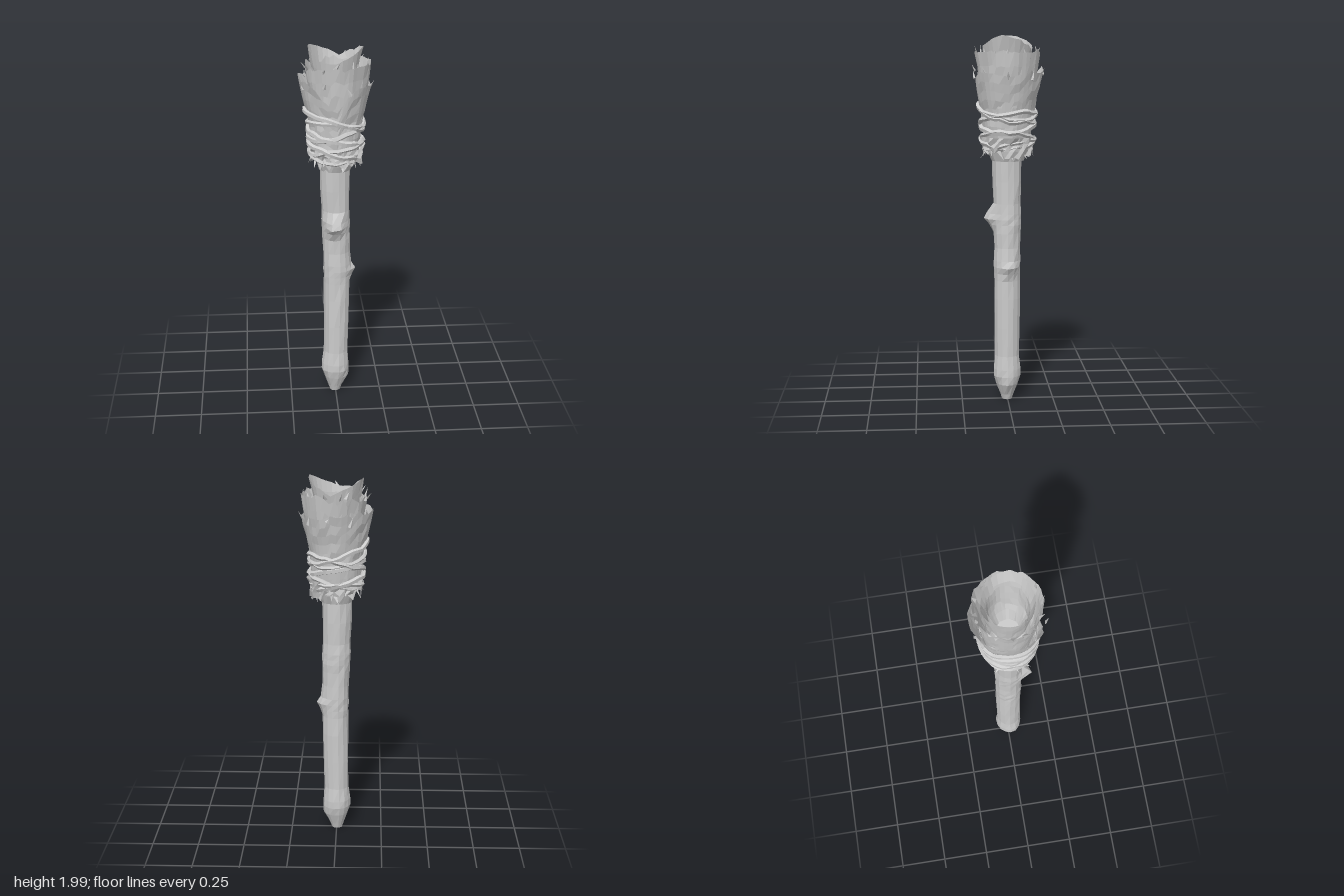
import * as THREE from 'three';

const grey = new THREE.MeshStandardMaterial({ color: 0xcccccc, flatShading: true, side: THREE.DoubleSide });
grey.name = 'plain grey';

// Repeatable noise in the range -1..1
function noise(a, b = 0, c = 0) {
  const s = Math.sin(a * 12.9898 + b * 78.233 + c * 37.719) * 43758.5453;
  return (s - Math.floor(s)) * 2 - 1;
}

// Piecewise linear lookup in [[y, r], ...]
function profileAt(profile, y) {
  if (y <= profile[0][0]) return profile[0][1];
  for (let i = 1; i < profile.length; i++) {
    const [y0, r0] = profile[i - 1], [y1, r1] = profile[i];
    if (y <= y1) return r0 + (r1 - r0) * (y - y0) / (y1 - y0);
  }
  return profile[profile.length - 1][1];
}

// Closed-around surface; point(row, angle, column) returns [x, y, z]
function loft(name, rows, cols, point) {
  const pos = [], idx = [];
  for (let i = 0; i < rows; i++) {
    for (let j = 0; j < cols; j++) pos.push(...point(i, j / cols * Math.PI * 2, j));
  }
  for (let i = 0; i < rows - 1; i++) {
    for (let j = 0; j < cols; j++) {
      const a = i * cols + j, b = i * cols + (j + 1) % cols, c = a + cols, d = b + cols;
      idx.push(a, c, b, b, c, d);
    }
  }
  const g = new THREE.BufferGeometry();
  g.setAttribute('position', new THREE.Float32BufferAttribute(pos, 3));
  g.setIndex(idx);
  g.computeVertexNormals();
  const mesh = new THREE.Mesh(g, grey);
  mesh.name = name;
  return mesh;
}

const angleDiff = (a, b) => Math.atan2(Math.sin(a - b), Math.cos(a - b));

// Wooden handle: whittled tip, worn sides and two broken-branch knots
function makeHandle() {
  const rows = [[0.01, 0], [0.01, 0.028], [0.04, 0.038], [0.1, 0.06], [0.145, 0.073], [0.185, 0.073],
    [0.26, 0.066], [0.42, 0.069], [0.58, 0.07], [0.68, 0.07], [0.72, 0.071], [0.755, 0.072], [0.79, 0.072],
    [0.86, 0.071], [0.94, 0.073], [0.985, 0.075], [1.015, 0.076], [1.045, 0.076], [1.1, 0.073],
    [1.22, 0.077], [1.34, 0.08], [1.5, 0.07], [1.5, 0]];
  const knots = [
    { y: 1.02, angle: Math.PI / 2 + 0.12, out: 0.056, w: 0.45, h: 0.04 },
    { y: 0.755, angle: -0.1, out: 0.03, w: 0.5, h: 0.035 },
    { y: 0.1, angle: 0, out: 0.014, w: 0.6, h: 0.04 },
    { y: 0.18, angle: Math.PI * 0.9, out: 0.006, w: 0.5, h: 0.04 },
  ];
  return loft('handle', rows.length, 14, (i, a, j) => {
    const [y, base] = rows[i];
    let r = base * (1 + 0.035 * noise(i, j));
    if (base > 0) {
      for (const k of knots) {
        r += k.out * Math.exp(-((angleDiff(a, k.angle) / k.w) ** 2) - ((y - k.y) / k.h) ** 2);
      }
    }
    const cx = 0.005 * Math.sin(y * 4.2 - 1.2) + 0.002;
    return [cx + r * Math.cos(a), y, 0.003 + r * Math.sin(a)];
  });
}

// Cloth cup with a ragged rim
function makeCup({ name, profile, top, ragged, seed, cx = 0, cz = 0, cols = 36, rows = 8, rough = 0.004 }) {
  const y0 = profile[0][0];
  return loft(name, rows, cols, (i, a, j) => {
    const t = i / (rows - 1);
    const end = top(a) + ragged * noise(j, seed) * (noise(j, seed + 3) > 0.1 ? 1 : 0.3);
    const y = y0 + (end - y0) * t;
    const r = profileAt(profile, y) + rough * noise(i, Math.floor(j / 2), seed);
    return [cx + r * Math.cos(a), y, cz + r * Math.sin(a)];
  });
}

const wrapProfile = [[1.33, 0.085], [1.38, 0.105], [1.44, 0.125], [1.52, 0.134], [1.6, 0.142],
  [1.7, 0.165], [1.78, 0.185], [1.85, 0.203]];

// Cord looped around the wrap on a slant
function makeCord(index, { y, tilt, dir, r = 0.013, gap = 0.008 }) {
  const pts = [];
  for (let k = 0; k < 20; k++) {
    const a = k / 20 * Math.PI * 2;
    const py = y + tilt * Math.cos(a - dir) + 0.007 * noise(k, index);
    const rad = profileAt(wrapProfile, py) + gap + 0.004 * noise(k, index, 5);
    pts.push(new THREE.Vector3(rad * Math.cos(a), py, rad * Math.sin(a)));
  }
  const curve = new THREE.CatmullRomCurve3(pts, true);
  const mesh = new THREE.Mesh(new THREE.TubeGeometry(curve, 36, r, 5, true), grey);
  mesh.name = 'cord' + (index + 1);
  return mesh;
}

// Small torn scraps standing out around a ring
function makeScraps(name, count, radius, y, length, seed, downward) {
  const group = new THREE.Group();
  group.name = name;
  for (let k = 0; k < count; k++) {
    const a = (k + 0.4 * noise(k, seed)) / count * Math.PI * 2;
    const len = length * (1 + 0.4 * noise(k, seed, 2));
    const scrap = new THREE.Mesh(new THREE.ConeGeometry(0.014, len, 3), grey);
    scrap.scale.z = 0.4;
    scrap.position.set(radius * Math.cos(a), y + 0.02 * noise(k, seed, 4), radius * Math.sin(a));
    scrap.rotation.set((downward ? Math.PI - 0.4 : 0.3) + 0.4 * noise(k, seed, 6), Math.PI / 2 - a, 0.6 * noise(k, seed, 8), 'YXZ');
    scrap.name = 'scrap';
    group.add(scrap);
  }
  return group;
}

export function createModel() {
  const torch = new THREE.Group();
  torch.name = 'torch';
  torch.add(makeHandle());

  // Inner bowl and its floor
  torch.add(makeCup({ name: 'innerBowl', profile: [[1.6, 0.06], [1.75, 0.1], [1.9, 0.125], [2, 0.145]],
    top: a => 1.955 + 0.035 * Math.cos(2 * a - 0.4), ragged: 0.012, seed: 1, cols: 28, rows: 6 }));
  const floor = new THREE.Mesh(new THREE.CylinderGeometry(0.062, 0.062, 0.01, 9), grey);
  floor.position.y = 1.6;
  floor.name = 'bowlFloor';
  torch.add(floor);
  torch.add(makeCup({ name: 'innerLining', profile: [[1.72, 0.094], [1.93, 0.108]],
    top: () => 1.9, ragged: 0.02, seed: 12, cols: 28, rows: 4, rough: 0.003 }));

  // Middle layer, shifted to the left side
  torch.add(makeCup({ name: 'middleWrap', profile: [[1.4, 0.1], [1.6, 0.13], [1.8, 0.157], [1.93, 0.177]],
    top: a => 1.895 + 0.015 * Math.cos(a), ragged: 0.03, seed: 2, cx: 0.012, cols: 44 }));

  // Outer layer with a deep notch at the front
  const notch = Math.PI / 2 + 0.1;
  torch.add(makeCup({ name: 'outerWrap', profile: wrapProfile,
    top: a => 1.81 - 0.02 * Math.cos(a) - 0.15 * Math.max(0, 1 - Math.abs(angleDiff(a, notch)) / 0.62),
    ragged: 0.022, seed: 3, cols: 40, rows: 11 }));

  // Ragged skirt below the cords
  torch.add(loft('lowerSkirt', 4, 32, (i, a, j) => {
    const hem = 1.375 + 0.03 * noise(j, 7);
    const y = hem + (1.46 - hem) * i / 3;
    const r = 0.13 + 0.012 * noise(i, j, 9) + 0.004 * i;
    return [0.008 + r * Math.cos(a), y, r * Math.sin(a)];
  }));

  // Slanted binding cords
  const cords = [
    { y: 1.6, tilt: 0.055, dir: Math.PI * 0.9 },
    { y: 1.575, tilt: 0.035, dir: Math.PI * 0.65, r: 0.011 },
    { y: 1.55, tilt: 0.045, dir: -0.4 },
    { y: 1.52, tilt: 0.035, dir: Math.PI * 1.1, r: 0.015 },
    { y: 1.455, tilt: 0.035, dir: 0.3, r: 0.012, gap: 0.014 },
    { y: 1.44, tilt: 0.035, dir: Math.PI, r: 0.014, gap: 0.014 },
    { y: 1.42, tilt: 0.025, dir: Math.PI * 1.5, r: 0.011, gap: 0.016 },
  ];
  cords.forEach((c, i) => torch.add(makeCord(i, c)));

  // Frayed threads
  torch.add(makeScraps('rimScraps', 16, 0.168, 1.9, 0.05, 21, false));
  torch.add(makeScraps('outerScraps', 9, 0.19, 1.805, 0.045, 33, false));
  torch.add(makeScraps('hemScraps', 15, 0.132, 1.385, 0.05, 45, true));
  return torch;
}
